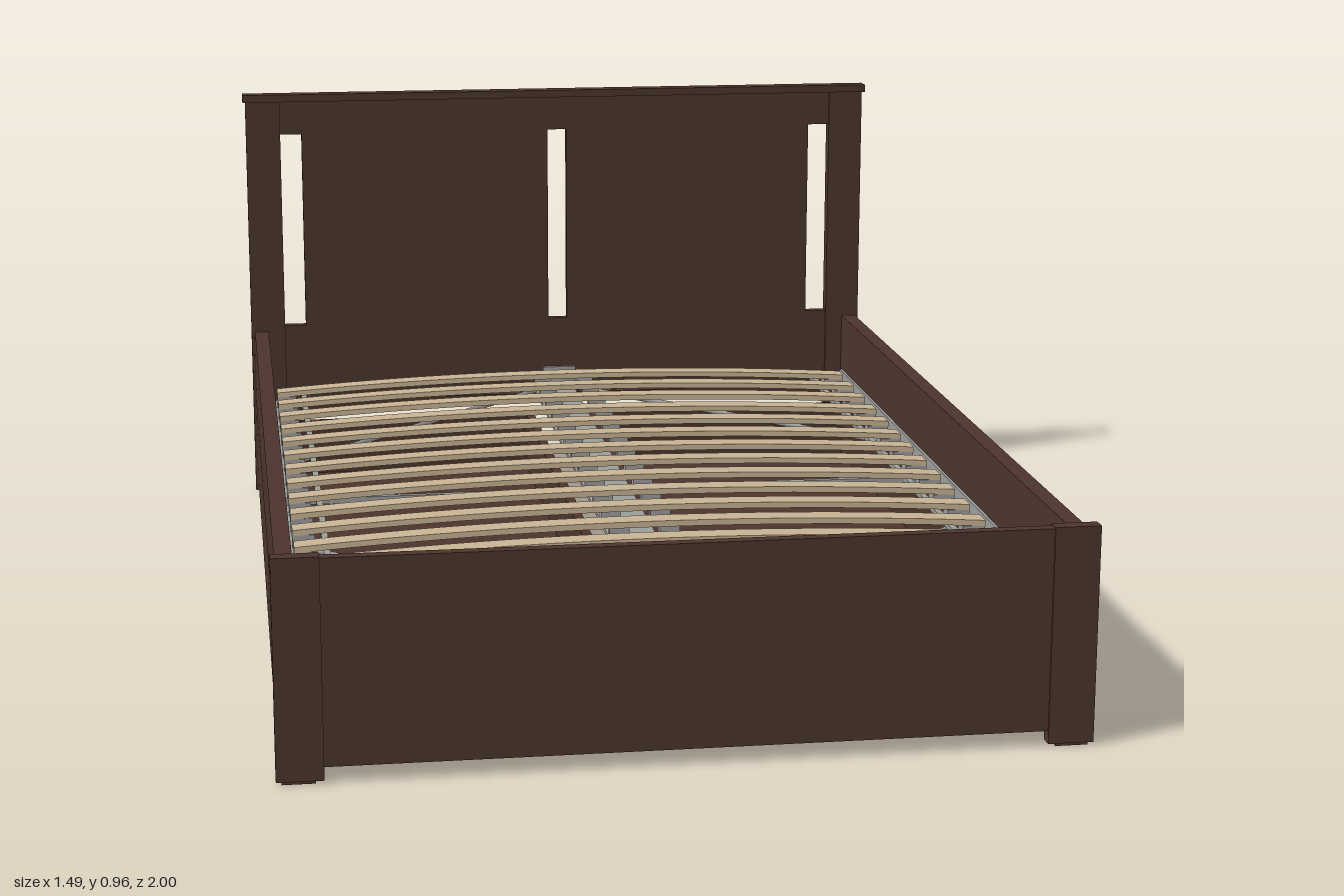
import * as THREE from 'three';

export function createModel() {
  const bed = new THREE.Group();
  bed.name = 'bed';
  const mat = (name, color) => {
    const m = new THREE.MeshStandardMaterial({ color });
    m.name = name;
    return m;
  };
  const wood = mat('dark brown wood', 0x4b342c);
  const slatWood = mat('pale slat wood', 0xc8b393);
  const steel = mat('grey steel', 0x9b9d9b);

  const add = (parent, name, geometry, material) => {
    const mesh = new THREE.Mesh(geometry, material);
    mesh.name = name;
    parent.add(mesh);
    return mesh;
  };
  // Box given by its minimum and maximum on each axis
  const box = (parent, name, x0, x1, y0, y1, z0, z1, material = wood) => {
    const mesh = add(parent, name, new THREE.BoxGeometry(x1 - x0, y1 - y0, z1 - z0), material);
    mesh.position.set((x0 + x1) / 2, (y0 + y1) / 2, (z0 + z1) / 2);
    return mesh;
  };
  // Same box on both sides of x = 0
  const pair = (parent, name, x0, x1, ...rest) => {
    box(parent, name + 'Left', x0, x1, ...rest);
    box(parent, name + 'Right', -x1, -x0, ...rest);
  };
  const group = (name) => {
    const g = new THREE.Group();
    g.name = name;
    bed.add(g);
    return g;
  };

  // Headboard: posts, cap, rails and two panels that leave three slots
  const head = group('headboard');
  pair(head, 'headPost', 0.66, 0.74, 0.006, 0.948, -0.997, -0.966);
  box(head, 'headCap', -0.746, 0.746, 0.948, 0.965, -1, -0.96);
  box(head, 'headTopRail', -0.66, 0.66, 0.87, 0.948, -0.991, -0.971);
  box(head, 'headPanelRight', -0.61, -0.025, 0.41, 0.87, -0.991, -0.971);
  box(head, 'headPanelLeft', 0.02, 0.61, 0.41, 0.87, -0.991, -0.971);
  box(head, 'headLowerPanel', -0.66, 0.66, 0.21, 0.41, -0.991, -0.971);
  box(head, 'headBottomTrim', -0.66, 0.66, 0.205, 0.228, -0.994, -0.953);
  pair(head, 'headFootPad', 0.67, 0.73, 0, 0.006, -0.992, -0.97);

  // Footboard
  const foot = group('footboard');
  pair(foot, 'footPost', 0.655, 0.74, 0.006, 0.415, 0.972, 1);
  box(foot, 'footPanel', -0.655, 0.655, 0.03, 0.412, 0.975, 0.997);
  pair(foot, 'footPad', 0.67, 0.73, 0, 0.006, 0.975, 0.996);

  // Side rails with their steel ledges
  const rails = group('sideRails');
  pair(rails, 'sideRail', 0.7, 0.732, 0.235, 0.397, -0.966, 0.975);
  pair(rails, 'railLedge', 0.66, 0.7, 0.225, 0.231, -0.95, 0.965, steel);
  pair(rails, 'railLedgeLip', 0.694, 0.7, 0.231, 0.265, -0.95, 0.965, steel);

  // Steel base: centre beam, long rods, cross bar and diagonal braces
  const base = group('steelBase');
  box(base, 'centreBeam', -0.03, 0.03, 0.195, 0.25, -0.97, 0.975, steel);
  box(base, 'beamHeadBracket', -0.04, 0.04, 0.19, 0.29, -0.971, -0.962, steel);
  box(base, 'beamFootBracket', -0.04, 0.04, 0.19, 0.29, 0.966, 0.975, steel);
  pair(base, 'centreStrip', 0.058, 0.07, 0.25, 0.258, -0.95, 0.95, steel);
  pair(base, 'longRod', 0.615, 0.628, 0.245, 0.255, -0.95, 0.95, steel);
  box(base, 'crossBar', -0.69, 0.69, 0.232, 0.244, -0.012, 0, steel);
  const brace = (x0, z0, x1, z1) => {
    const path = new THREE.LineCurve3(
      new THREE.Vector3(x0, 0.238, z0), new THREE.Vector3(x1, 0.238, z1));
    add(base, 'diagonalBrace', new THREE.TubeGeometry(path, 1, 0.006, 6), steel);
  };
  for (const s of [-1, 1]) {
    brace(0.04 * s, -0.96, 0.68 * s, -0.31);
    brace(0.04 * s, 0.96, 0.68 * s, 0.32);
  }

  // Sixteen bowed slats in small steel holders
  const slats = group('slats');
  const slatShape = new THREE.BoxGeometry(1.37, 0.012, 0.045, 24, 1, 1);
  const p = slatShape.attributes.position;
  for (let i = 0; i < p.count; i++) {
    const t = p.getX(i) / 0.685;
    p.setY(i, p.getY(i) + 0.025 * (1 - t * t));
  }
  slatShape.computeVertexNormals();
  for (let i = 0; i < 16; i++) {
    const z = -0.893 + i * 0.1187;
    add(slats, 'slat', slatShape, slatWood).position.set(0, 0.262, z);
    pair(slats, 'slatEndHolder', 0.64, 0.685, 0.231, 0.257, z - 0.02, z + 0.02, steel);
    pair(slats, 'slatCentreHolder', 0.03, 0.07, 0.25, 0.28, z - 0.012, z + 0.012, steel);
  }

  // Open drawers on castors, two on each side
  const wheel = new THREE.CylinderGeometry(0.011, 0.011, 0.014, 12).rotateZ(Math.PI / 2);
  const castor = (parent, x, z) => {
    add(parent, 'castorWheel', wheel, steel).position.set(x, 0.017, z);
    box(parent, 'castorPlate', x - 0.014, x + 0.014, 0.024, 0.036, z - 0.012, z + 0.012, steel);
  };
  const drawer = (name, s, z0, z1, castors) => {
    const d = group(name);
    const part = (label, x0, x1, ...rest) =>
      s > 0 ? box(d, label, x0, x1, ...rest) : box(d, label, -x1, -x0, ...rest);
    part('drawerFront', 0.7, 0.734, 0.03, 0.231, z0, z1);
    part('drawerInnerSide', 0.065, 0.085, 0.03, 0.18, z0, z1);
    part('drawerBackEnd', 0.085, 0.7, 0.03, 0.18, z0, z0 + 0.018);
    part('drawerFrontEnd', 0.085, 0.7, 0.03, 0.18, z1 - 0.018, z1);
    part('drawerBottom', 0.085, 0.7, 0.042, 0.052, z0 + 0.018, z1 - 0.018);
    // Reinforcing panels under the floor
    const n = z1 - z0 > 1 ? 2 : 1;
    const step = (z1 - z0) / n;
    for (let i = 0; i < n; i++) {
      const a = z0 + i * step;
      part('floorPanel', 0.2, 0.58, 0.036, 0.042, a + 0.13, a + step - 0.13);
    }
    if (n > 1) part('floorRib', 0.085, 0.7, 0.034, 0.042, z0 + step - 0.03, z0 + step + 0.03);
    for (const [x, z] of castors) castor(d, x * s, z);
  };
  for (const s of [-1, 1]) {
    const side = s > 0 ? 'Left' : 'Right';
    drawer('largeDrawer' + side, s, -0.955, 0.356,
      [[0.14, -0.85], [0.645, -0.85], [0.39, -0.3], [0.14, 0.25], [0.645, 0.25]]);
    drawer('smallDrawer' + side, s, 0.364, 0.972,
      [[0.14, 0.45], [0.645, 0.45], [0.14, 0.89], [0.645, 0.89]]);
  }
  return bed;
}
